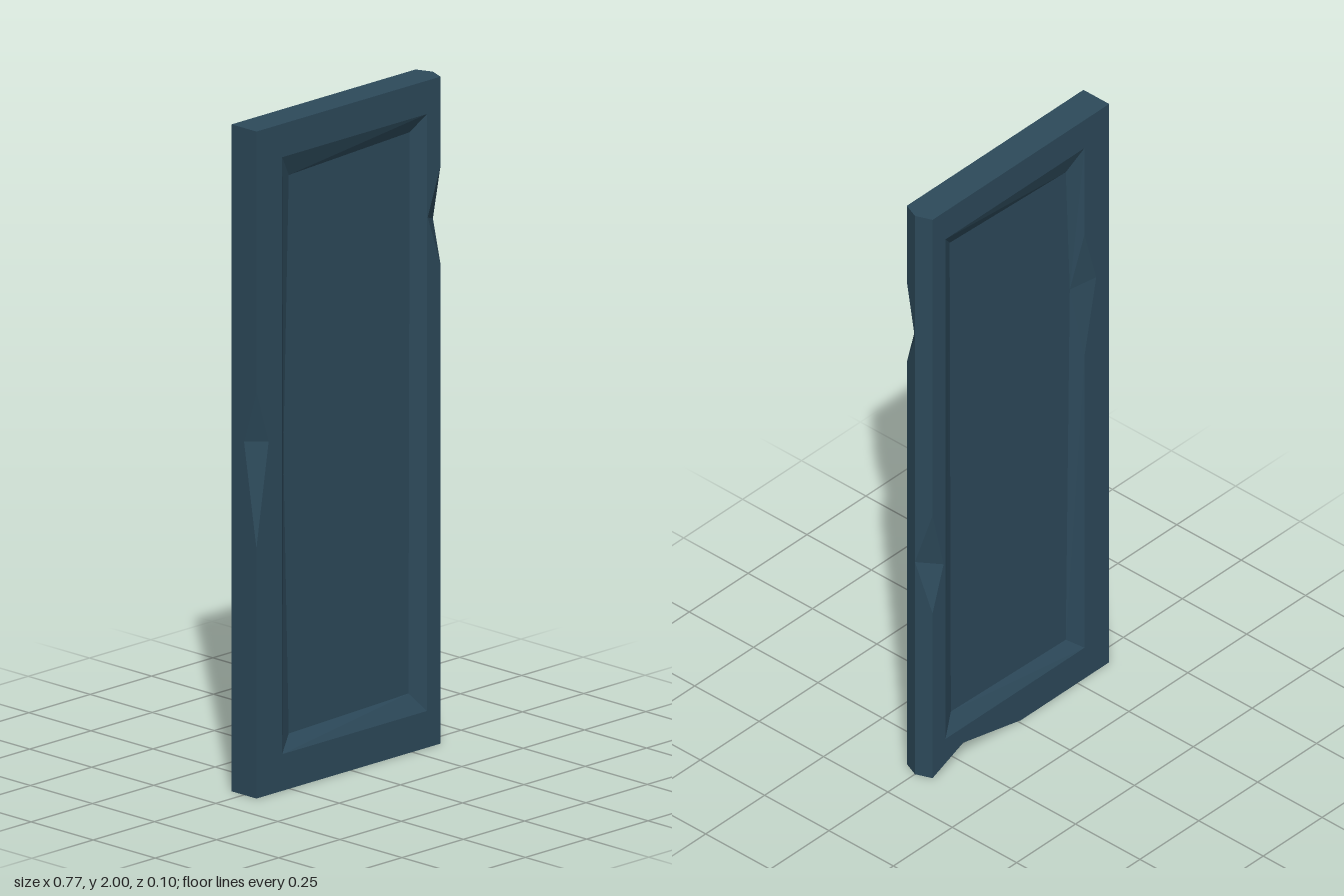
import * as THREE from 'three';

const v = (x, y, z) => new THREE.Vector3(x, y, z);

// Flat-faced polygon soup; each polygon is wound to face the given outward direction.
function facets(list) {
  const pos = [];
  for (const { pts, out, holes = [] } of list) {
    const a = [Math.abs(out.x), Math.abs(out.y), Math.abs(out.z)];
    const drop = a.indexOf(Math.max(...a));
    const [p, q] = ['x', 'y', 'z'].filter((_, i) => i !== drop);
    const flat = (l) => l.map((c) => new THREE.Vector2(c[p], c[q]));
    const all = [...pts, ...holes.flat()];
    for (const t of THREE.ShapeUtils.triangulateShape(flat(pts), holes.map(flat))) {
      let [A, B, C] = t.map((i) => all[i]);
      const n = B.clone().sub(A).cross(C.clone().sub(A));
      if (n.dot(out) < 0) [B, C] = [C, B];
      for (const c of [A, B, C]) pos.push(c.x, c.y, c.z);
    }
  }
  const g = new THREE.BufferGeometry();
  g.setAttribute('position', new THREE.Float32BufferAttribute(pos, 3));
  g.computeVertexNormals();
  return g;
}

export function createModel() {
  const group = new THREE.Group();
  group.name = 'chippedPanel';
  const slate = new THREE.MeshStandardMaterial({ color: 0x2d4a5b });
  slate.name = 'slate blue';
  const add = (name, list) => {
    const m = new THREE.Mesh(facets(list), slate);
    m.name = name;
    group.add(m);
  };

  const L = -0.385, E = 0.365, R = 0.385, T = 0.05, F = 0.025, H = 2;

  // A chip runs from a to b along an edge; p lies on one face, q on the next.
  const frontChip = { a: v(E, 1.73, T), b: v(E, 1.44, T), p: v(0.31, 1.59, T), q: v(R, 1.56, 0) };
  const backChip = { a: v(E, 0.94, -T), b: v(E, 0.59, -T), p: v(0.318, 0.74, -T), q: v(R, 0.76, 0) };
  const sideChip = { a: v(L, 1.22, T), b: v(L, 0.75, T), p: v(-0.335, 1.06, T), q: v(L, 1.06, 0) };
  const baseChip = { a: v(E, 0, -T), b: v(-0.01, 0, -T), p: v(0.235, 0.055, -T), q: v(0.24, 0, 0.015) };
  const lipChip = { a: v(-0.28, 1.59, -T), b: v(-0.28, 1.155, -T), p: v(-0.33, 1.41, -T), q: v(-0.245, 1.4, -F) };
  const chipFaces = ({ a, b, p, q }, out) => [
    { pts: [a, p, q], out }, { pts: [p, b, q], out },
  ];

  // Recess corners on one side: outer rim and sunken floor
  const recess = (s) => ({
    o: [v(-0.28, 1.9, s * T), v(0.31, 1.9, s * T), v(0.31, 0.11, s * T), v(-0.28, 0.11, s * T)],
    i: [v(-0.228, 1.83, s * F), v(0.265, 1.85, s * F), v(0.26, 0.168, s * F), v(-0.228, 0.155, s * F)],
  });
  const front = recess(1), back = recess(-1);
  const frontBend = v(-0.25, 1.0, F);
  const fz = v(0, 0, 1), bz = v(0, 0, -1);

  // Frames around the recesses
  add('frontFrame', [{
    pts: [v(L, 0, T), v(E, 0, T), frontChip.b, frontChip.p.clone().setX(0.313), frontChip.a,
      v(E, H, T), v(L, H, T), sideChip.a, sideChip.p, sideChip.b],
    holes: [front.o], out: fz,
  }]);
  add('backFrame', [{
    pts: [v(L, 0, -T), baseChip.b, baseChip.p, baseChip.a, backChip.b, backChip.p, backChip.a,
      v(E, H, -T), v(L, H, -T)],
    holes: [[...back.o, lipChip.b, lipChip.p, lipChip.a]], out: bz,
  }]);

  // Sloping recess walls and sunken floors
  const walls = ({ o, i }, out) => [0, 1, 2].map((k) => ({ pts: [o[k], o[k + 1], i[k + 1], i[k]], out }));
  add('frontRecessWalls', [
    ...walls(front, fz),
    { pts: [front.o[0], front.i[0], frontBend], out: fz },
    { pts: [front.o[0], frontBend, front.o[3]], out: fz },
    { pts: [front.o[3], frontBend, front.i[3]], out: fz },
  ]);
  add('backRecessWalls', [
    ...walls(back, bz),
    { pts: [back.o[0], lipChip.a, lipChip.q, back.i[0]], out: bz },
    { pts: [lipChip.b, back.o[3], back.i[3], lipChip.q], out: bz },
  ]);
  add('frontPanel', [{ pts: [...front.i, frontBend], out: fz }]);
  add('backPanel', [{ pts: [...back.i, lipChip.q], out: bz }]);

  // Ridged edge: two bevels, each interrupted by a chip
  const bevel = (s, { a, b, q }) => [
    { pts: [v(E, 0, s * T), b, q, v(R, 0, 0)], out: v(1, 0, s * 0.4) },
    { pts: [a, v(E, H, s * T), v(R, H, 0), q], out: v(1, 0, s * 0.4) },
  ];
  add('ridgedEdge', [...bevel(1, frontChip), ...bevel(-1, backChip)]);

  // Straight edge, top and base
  add('straightEdge', [{
    pts: [v(L, 0, T), sideChip.b, sideChip.q, sideChip.a, v(L, H, T), v(L, H, -T), v(L, 0, -T)],
    out: v(-1, 0, 0),
  }]);
  const section = (y) => [v(L, y, T), v(E, y, T), v(R, y, 0), v(E, y, -T)];
  add('topEdge', [{ pts: [...section(H), v(L, H, -T)], out: v(0, 1, 0) }]);
  add('baseEdge', [{
    pts: [...section(0), baseChip.q, baseChip.b, v(L, 0, -T)], out: v(0, -1, 0),
  }]);

  // Chipped facets
  add('chips', [
    ...chipFaces(frontChip, v(0.5, 0, 0.6)),
    ...chipFaces(backChip, v(0.5, 0, -0.6)),
    ...chipFaces(sideChip, v(-0.5, 0, 0.6)),
    ...chipFaces(baseChip, v(0, -0.6, -0.5)),
    ...chipFaces(lipChip, v(0.3, 0, -0.6)),
  ]);
  return group;
}
